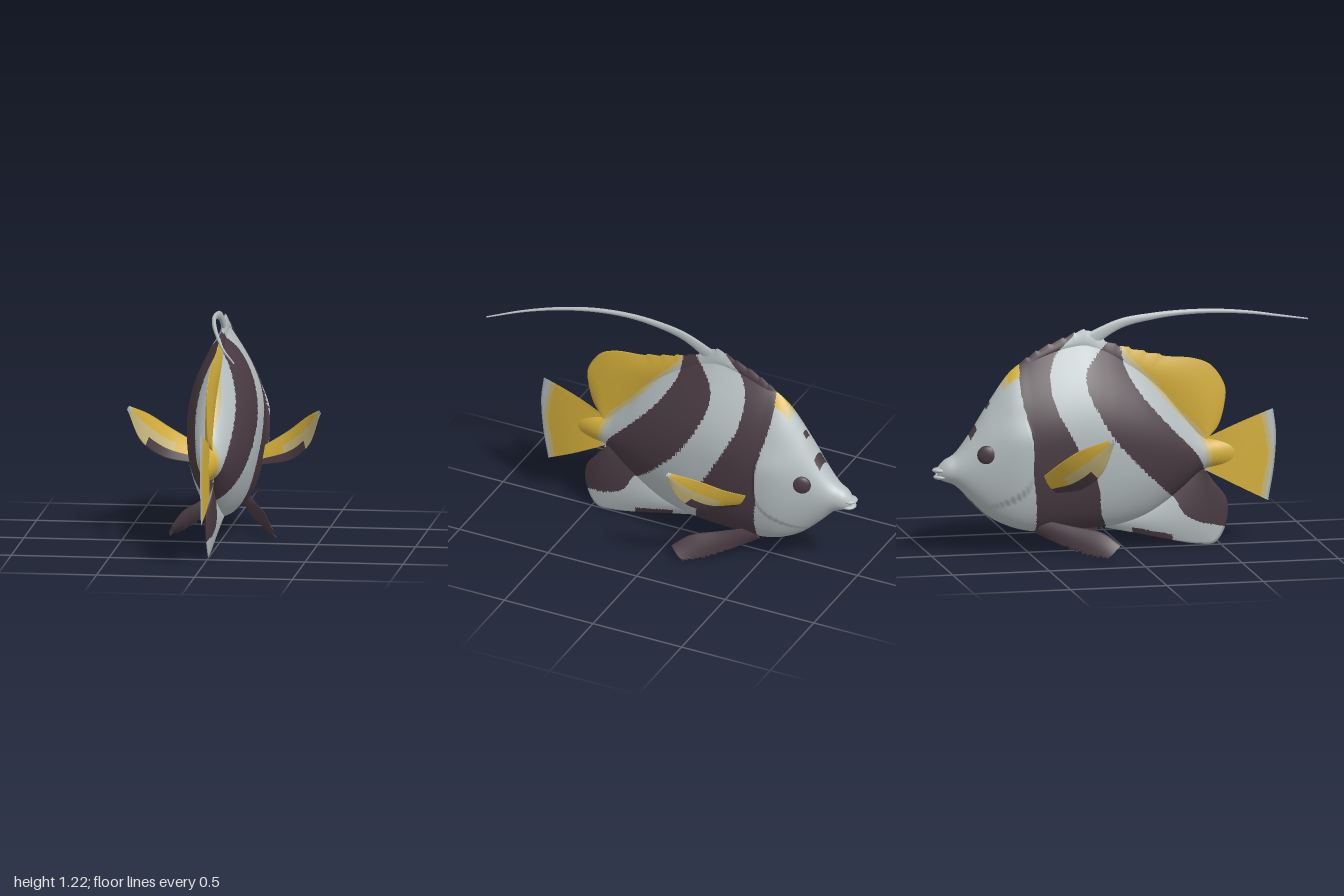
import * as THREE from 'three';

const mat = (name, color) => new THREE.MeshStandardMaterial({ name, color, side: THREE.DoubleSide });
const V = (x, y, z) => new THREE.Vector3(x, y, z);
const smooth = THREE.MathUtils.smoothstep;

// Smooth interpolation through rows of [key, value, value...]
function table(rows) {
  const n = rows[0].length - 1;
  const it = new THREE.CubicInterpolant(rows.map(r => r[0]), rows.flatMap(r => r.slice(1)), n, new Float32Array(n));
  return t => it.evaluate(t);
}

// Stripe borders: z for each height y
const front1 = table([[0.12, -0.475], [0.31, -0.49], [0.45, -0.51], [0.61, -0.512], [0.8, -0.55], [0.9, -0.556], [0.98, -0.545]]);
const rear1 = table([[0.12, -0.1], [0.2, -0.14], [0.37, -0.17], [0.53, -0.26], [0.66, -0.33], [0.77, -0.385], [0.9, -0.405], [1.01, -0.37], [1.12, -0.26]]);
const front2 = table([[0.1, 0.52], [0.12, 0.41], [0.26, 0.25], [0.41, 0.09], [0.58, -0.07], [0.74, -0.17], [0.875, -0.22], [0.955, -0.205], [1.07, -0.09]]);
const rear2 = table([[0.4, 0.41], [0.475, 0.37], [0.635, 0.22], [0.795, 0.08], [0.93, 0], [1.03, -0.02]]);
const yellowEdge = table([[0.4, 0.42], [0.5, 0.41], [0.59, 0.37], [0.715, 0.25], [0.875, 0.115], [0.98, 0.01], [1.03, -0.03]]);
const gillEdge = table([[0.25, -0.74], [0.28, -0.66], [0.32, -0.58], [0.37, -0.53], [0.45, -0.507], [0.62, -0.515], [0.7, -0.54]]);

const LIGHT = 0, DARK = 1, YELLOW = 2, PALE = 3;

function bodyPaint({ x, y, z }) {
  if (z < front1(y)[0]) {
    if (y > 0.84 && z > -0.64 && Math.abs(x) < 0.045) return z > -0.61 ? YELLOW : PALE;
    if (y > 0.55 && Math.abs(z + 0.793) < 0.016 && Math.abs(x) < 0.042) return DARK;
    if (y > 0.65 && Math.abs(z + 0.713) < 0.01 && Math.abs(x) < 0.018) return DARK;
    return LIGHT;
  }
  if (z < rear1(y)[0]) return DARK;
  if (z > 0.04 && z < 0.25 && y < 0.122 - 0.23 * z) return DARK;
  if (z < front2(y)[0]) return LIGHT;
  if (y < 0.39) return DARK;
  if (z < rear2(y)[0]) return DARK;
  const past = z - yellowEdge(y)[0];
  return past < 0 ? LIGHT : past < 0.03 ? PALE : YELLOW;
}

// Closed loft: rings of points, each face coloured by a rule
function loft(name, mats, nu, nv, point, paint) {
  const pos = [], lists = mats.map(() => []);
  for (let i = 0; i <= nu; i++)
    for (let j = 0; j < nv; j++) pos.push(point(i / nu, j / nv));
  const face = (a, b, c, u, v) => {
    const mid = V(0, 0, 0).add(pos[a]).add(pos[b]).add(pos[c]).divideScalar(3);
    lists[paint(mid, u, v)].push(a, b, c);
  };
  for (let i = 0; i < nu; i++)
    for (let j = 0; j < nv; j++) {
      const k = (j + 1) % nv, a = i * nv + j, b = a + nv, c = i * nv + k, d = c + nv;
      const u = (i + 0.5) / nu, v = (j + 0.5) / nv;
      face(a, b, c, u, v);
      face(b, d, c, u, v);
    }
  const geo = new THREE.BufferGeometry().setFromPoints(pos);
  geo.setIndex(lists.flat());
  let start = 0;
  lists.forEach((l, m) => {
    if (l.length) geo.addGroup(start, l.length, m);
    start += l.length;
  });
  geo.computeVertexNormals();
  const mesh = new THREE.Mesh(geo, mats);
  mesh.name = name;
  return mesh;
}

// Thin lens-shaped fin between a root edge and an outer edge
function fin(name, mats, root, outer, dir, thick, nu, nv, paint, jag = () => 0) {
  const a = new THREE.CatmullRomCurve3(root), b = new THREE.CatmullRomCurve3(outer);
  const across = v => 1 - Math.abs(2 * v - 1);
  return loft(name, mats, nu, nv, (u, v) => {
    const w = across(v), p = a.getPoint(u).lerp(b.getPoint(u), w);
    p.y += jag(u) * smooth(w, 0.6, 1);
    return p.addScaledVector(dir, thick * Math.sin(2 * Math.PI * v));
  }, (p, u, v) => paint(p, u, across(v)));
}
const flat = pts => pts.map(([z, y]) => V(0, y, z));

export function createModel() {
  const fish = new THREE.Group();
  const mats = [mat('light grey', 0xb4bdbf), mat('dark brown', 0x493b42), mat('yellow', 0xd2ad3a), mat('pale yellow', 0xc6b67c)];
  const X = V(1, 0, 0);

  // Body sections: z, top, bottom, half width, sharpness of back, sharpness of belly
  const section = table([
    [-0.975, 0.455, 0.405, 0.018, 1, 1], [-0.94, 0.493, 0.39, 0.047, 1, 1], [-0.88, 0.53, 0.365, 0.068, 1, 1],
    [-0.8, 0.635, 0.285, 0.097, 1.1, 0.9], [-0.7, 0.795, 0.195, 0.13, 1.3, 0.8], [-0.6, 0.935, 0.145, 0.158, 1.6, 0.7],
    [-0.5, 1.005, 0.118, 0.174, 2, 0.75], [-0.4, 1.055, 0.115, 0.184, 2.3, 0.8], [-0.3, 1.09, 0.115, 0.187, 2.5, 0.85],
    [-0.2, 1.1, 0.118, 0.185, 2.5, 0.9], [-0.1, 1.06, 0.122, 0.18, 2.4, 1], [0, 0.995, 0.135, 0.168, 2.2, 1.2],
    [0.1, 0.915, 0.165, 0.15, 2, 1.4], [0.2, 0.81, 0.225, 0.125, 1.8, 1.5], [0.3, 0.68, 0.305, 0.094, 1.6, 1.5],
    [0.4, 0.57, 0.39, 0.058, 1.4, 1.4], [0.5, 0.545, 0.41, 0.034, 1.5, 1.5], [0.62, 0.52, 0.43, 0.002, 1.5, 1.5],
  ]);
  fish.add(loft('body', mats, 240, 112, (u, v) => {
    const z = -0.975 + 1.595 * u, t = 2 * Math.PI * v, s = Math.sin(t), c = Math.cos(t);
    const [top, bottom, width, back, belly] = section(z);
    const y = (top + bottom) / 2 + c * (top - bottom) / 2;
    let x = Math.sign(s) * width * Math.pow(Math.abs(s), c > 0 ? back : belly);
    // raised gill cover
    const edge = gillEdge(y)[0];
    x *= 1 + 0.11 * smooth(z, -0.85, -0.55) * (1 - smooth(z, edge - 0.005, edge + 0.012)) * (1 - smooth(y, 0.6, 0.75));
    return V(x, y, z);
  }, bodyPaint));

  // Dorsal, anal and tail fins
  fish.add(fin('dorsalFin', mats,
    flat([[-0.5, 0.93], [-0.42, 0.98], [-0.3, 1.02], [-0.2, 1], [-0.1, 0.95], [0, 0.88], [0.08, 0.82], [0.16, 0.75], [0.22, 0.69], [0.28, 0.63], [0.33, 0.58], [0.38, 0.53], [0.41, 0.5]]),
    flat([[-0.55, 0.975], [-0.45, 1.04], [-0.31, 1.1], [-0.2, 1.135], [-0.1, 1.075], [0.035, 1.03], [0.195, 0.99], [0.36, 0.97], [0.45, 0.93], [0.52, 0.82], [0.52, 0.74], [0.475, 0.6], [0.41, 0.56]]),
    X, 0.018, 144, 60, bodyPaint, u => (u < 0.5 ? 0.011 * ((u * 24) % 1) : 0)));
  fish.add(fin('analFin', mats,
    flat([[-0.1, 0.2], [0, 0.22], [0.1, 0.27], [0.18, 0.31], [0.24, 0.35], [0.3, 0.38], [0.34, 0.4], [0.38, 0.43], [0.41, 0.44]]),
    flat([[-0.1, 0.115], [0.035, 0.085], [0.25, 0.035], [0.38, 0.012], [0.47, 0.015], [0.53, 0.12], [0.53, 0.235], [0.47, 0.32], [0.4, 0.39]]),
    X, 0.024, 100, 48, bodyPaint));
  fish.add(fin('tailFin', mats,
    flat([[0.4, 0.545], [0.4, 0.5], [0.4, 0.45], [0.4, 0.4]]),
    flat([[0.77, 0.695], [0.785, 0.57], [0.775, 0.4], [0.745, 0.22]]),
    X, 0.016, 60, 60, ({ y, z }) => {
      const rim = 0.77 - 0.17 * Math.abs(y - 0.47) - z;
      if (rim < 0 || z < 0.415) return LIGHT;
      return rim < 0.025 || z < 0.44 ? PALE : YELLOW;
    }));

  // Long trailing filament
  const path = new THREE.CatmullRomCurve3([
    V(0, 1.03, -0.28), V(0, 1.09, -0.17), V(0, 1.165, -0.02), V(0, 1.195, 0.14), V(0.01, 1.207, 0.3),
    V(0.035, 1.202, 0.48), V(0.075, 1.18, 0.66), V(0.125, 1.146, 0.83), V(0.2, 1.108, 0.995)]);
  const radius = table([[0, 0.05], [0.13, 0.042], [0.25, 0.026], [0.4, 0.017], [0.7, 0.01], [1, 0.004]]);
  fish.add(loft('filament', mats, 60, 12, (u, v) => {
    const r = radius(u)[0], t = 2 * Math.PI * v;
    return path.getPoint(u).add(V(Math.min(r, 0.011) * Math.sin(t), r * Math.cos(t), 0));
  }, () => LIGHT));

  // Paired parts: pectoral fins, pelvic fins and eyes
  const tilt = V(0.8, -0.37, -0.46).normalize();
  for (const side of [1, -1]) {
    const pair = new THREE.Group();
    pair.name = side > 0 ? 'leftPair' : 'rightPair';
    pair.scale.x = side;
    pair.add(fin('pectoralFin', mats,
      [V(0.16, 0.42, -0.46), V(0.3, 0.515, -0.4), V(0.4, 0.6, -0.31), V(0.485, 0.665, -0.17)],
      [V(0.16, 0.335, -0.39), V(0.33, 0.385, -0.29), V(0.43, 0.48, -0.21), V(0.49, 0.64, -0.16)],
      tilt, 0.008, 60, 48, (p, u, w) => {
        if (u > 0.97) return LIGHT;
        if (w > 0.72 && u < 0.58) return DARK;
        return w > 0.4 && u > 0.25 ? PALE : YELLOW;
      }));
    pair.add(fin('pelvicFin', mats,
      [V(0.09, 0.185, -0.44), V(0.15, 0.155, -0.29), V(0.21, 0.13, -0.16), V(0.255, 0.07, -0.075)],
      [V(0.06, 0.115, -0.48), V(0.12, 0.07, -0.38), V(0.2, 0.02, -0.26), V(0.27, 0.004, -0.15)],
      tilt, 0.014, 50, 32, () => DARK, u => (u > 0.45 ? 0.012 * ((u * 14) % 1) : 0)));
    const eye = new THREE.Mesh(new THREE.SphereGeometry(0.05, 28, 18), mats[DARK]);
    eye.name = 'eye';
    eye.scale.x = 0.45;
    eye.position.set(0.11, 0.535, -0.737);
    eye.rotation.y = 0.3;
    pair.add(eye);
    fish.add(pair);
  }

  // Lips
  for (const [name, y, z] of [['upperLip', 0.447, -0.955], ['lowerLip', 0.412, -0.948]]) {
    const lip = new THREE.Mesh(new THREE.SphereGeometry(1, 24, 14), mats[LIGHT]);
    lip.name = name;
    lip.scale.set(0.04, 0.015, 0.043);
    lip.position.set(0, y, z);
    fish.add(lip);
  }
  return fish;
}
